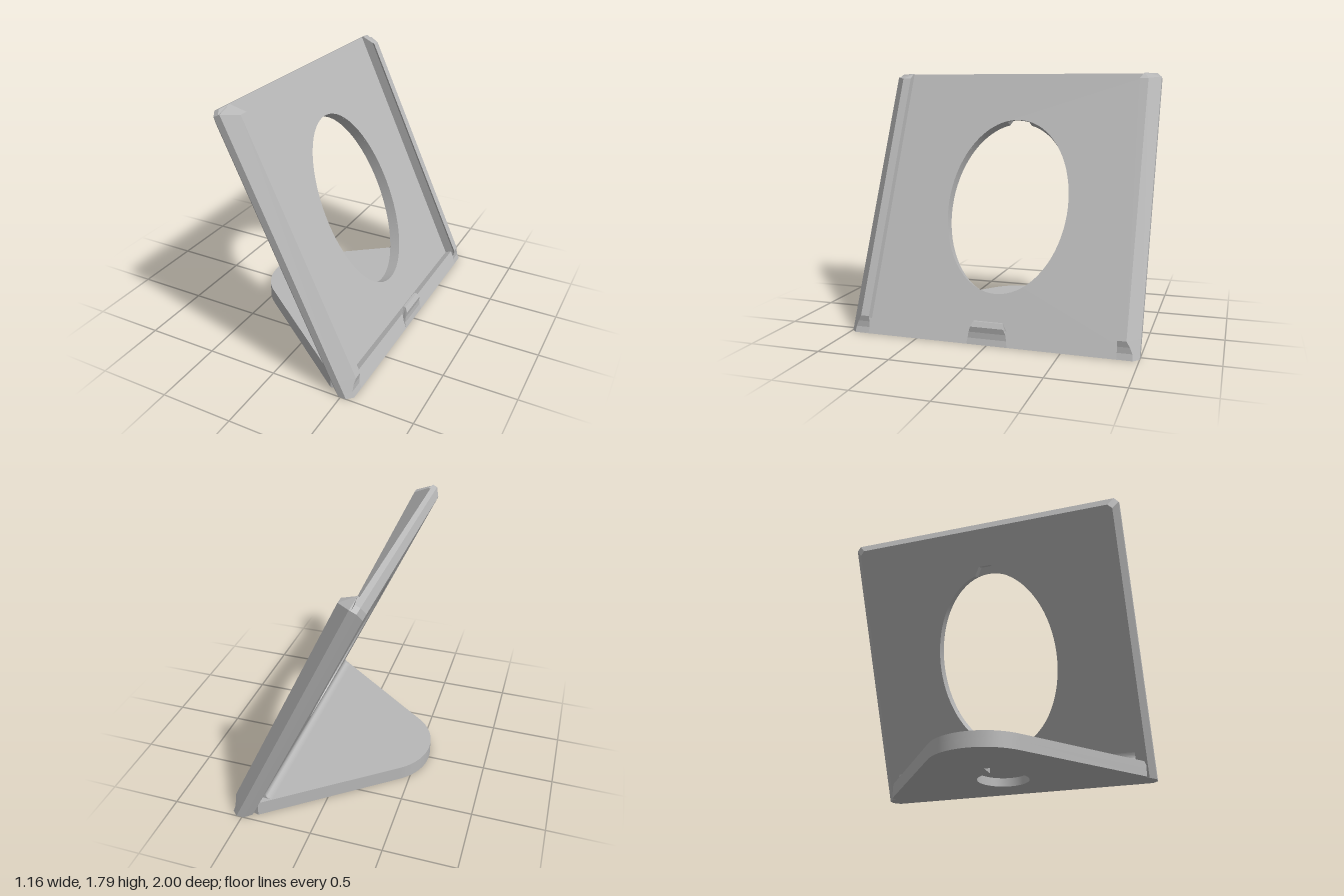
import * as THREE from 'three';
import { toCreasedNormals } from 'three/addons/utils/BufferGeometryUtils.js';

const TILT = THREE.MathUtils.degToRad(25);
// Height along the tilted plate at which depth n meets the ground
const ground = (n, y = 0) => (y - n * Math.sin(TILT)) / Math.cos(TILT);

const grey = new THREE.MeshStandardMaterial({ color: 0xb8b8b8 });
grey.name = 'grey';

function mesh(name, geometry) {
  const m = new THREE.Mesh(geometry, grey);
  m.name = name;
  return m;
}

const shapeOf = (pts) => new THREE.Shape(pts.map(([x, y]) => new THREE.Vector2(x, y)));

function extrude(shape, depth) {
  return new THREE.ExtrudeGeometry(shape, { depth, bevelEnabled: false, curveSegments: 32 });
}

// Oval opening, optionally with a cable notch at its top
function ovalHole(notched) {
  const pts = [], steps = 72, gap = notched ? 0.19 : 0;
  for (let i = 0; i <= steps; i++) {
    const t = Math.PI / 2 + gap + (i / steps) * (2 * Math.PI - 2 * gap);
    if (!notched && i === steps) break;
    pts.push(new THREE.Vector2(0.435 * Math.cos(t), 0.743 + 0.635 * Math.sin(t)));
  }
  if (notched) pts.push(new THREE.Vector2(0.045, 1.43), new THREE.Vector2(-0.045, 1.43));
  return new THREE.Path(pts);
}

// One layer of the plate, from depth n0 to n1; the back edge is chamfered
function plateLayer(n0, n1, notched) {
  const outline = shapeOf([[-1, -0.2], [1, -0.2], [1, 1.712], [0.97, 1.742], [-0.97, 1.742], [-1, 1.712]]);
  outline.holes.push(ovalHole(notched));
  const g = extrude(outline, n1 - n0).rotateY(Math.PI / 2).translate(n0, 0, 0);
  const p = g.attributes.position;
  for (let i = 0; i < p.count; i++) {
    const n = p.getX(i);
    let u = p.getY(i), z = p.getZ(i);
    if (u < 0) u = ground(n);
    if (n < 0.4) {
      if (Math.abs(z) > 0.95) z -= Math.sign(z) * 0.044;
      if (u > 1.69) u -= 0.044;
    }
    p.setXYZ(i, n, u, z);
  }
  return toCreasedNormals(g, 0.5);
}

// Closed loft through rings of equal length; flip reverses the winding
function loft(rings, flip) {
  const pos = [], idx = [], k = rings[0].length;
  rings.forEach((r) => r.forEach((v) => pos.push(...v)));
  const tri = (a, b, c) => (flip ? idx.push(a, c, b) : idx.push(a, b, c));
  for (let r = 0; r < rings.length - 1; r++) {
    for (let j = 0; j < k; j++) {
      const a = r * k + j, b = r * k + ((j + 1) % k);
      tri(a, b, b + k);
      tri(a, b + k, a + k);
    }
  }
  const top = (rings.length - 1) * k;
  for (let j = 1; j < k - 1; j++) {
    tri(top, top + j, top + j + 1);
    tri(0, j + 1, j);
  }
  const g = new THREE.BufferGeometry();
  g.setAttribute('position', new THREE.Float32BufferAttribute(pos, 3));
  g.setIndex(idx);
  const flat = g.toNonIndexed();
  flat.computeVertexNormals();
  return flat;
}

// Side rail with a small inward hook; section points are [depth, z, top]
function rail(side) {
  const section = [
    [0.489, 0.88, 1.742], [0.477, 0.88, 1.742], [0.477, 0.97, 1.742], [0.477, 1, 1.712],
    [0.489, 1, 1.712], [0.567, 0.92, 1.664], [0.567, 0.86, 1.664], [0.545, 0.88, 1.686],
  ];
  // Near the ground the rail thins down to the depth of the bottom lip
  const row = (y, limit) => section.map(([n, z]) => {
    const d = Math.min(n, limit);
    const w = n > 0.56 && z > 0.9 ? z + (n - d) : z;
    return [d, ground(d, y), w * side];
  });
  const rings = [row(0, 0.525), row(0.04, 0.529), row(0.08, 0.545), row(0.12, 0.567),
    section.map(([n, z, u]) => [n, u, z * side])];
  return loft(rings, side < 0);
}

// Foot outline seen from above: rounded nose flaring to the plate
function footShape() {
  const s = new THREE.Shape();
  const a = THREE.MathUtils.degToRad(127.6);
  s.moveTo(0.46, -0.93);
  s.lineTo(0.46, 0.93);
  s.lineTo(0.4, 0.945);
  s.absarc(-0.205, 0, 0.38, a, 2 * Math.PI - a, false);
  s.lineTo(0.4, -0.945);
  return s;
}

function footLayer(y0, y1, shape) {
  const g = extrude(shape, y1 - y0).rotateX(-Math.PI / 2).translate(0, y0, 0);
  return toCreasedNormals(g, 0.5);
}

// Bar with an x-y profile, centred on z
function bar(shape, half) {
  return toCreasedNormals(extrude(shape, 2 * half).translate(0, 0, -half), 0.5);
}

export function createModel() {
  const model = new THREE.Group();
  model.name = 'deviceStand';

  // Tilted back plate and side rails
  const back = new THREE.Group();
  back.name = 'tiltedBack';
  back.rotation.z = TILT;
  back.add(mesh('plateBack', plateLayer(0.397, 0.441, true)));
  back.add(mesh('plateMiddle', plateLayer(0.441, 0.465, true)));
  back.add(mesh('plateFront', plateLayer(0.465, 0.477, false)));
  back.add(mesh('leftRail', rail(1)), mesh('rightRail', rail(-1)));
  model.add(back);

  // Bottom lip
  model.add(mesh('bottomLip', bar(shapeOf([[0.52, 0], [0.58, 0], [0.535, 0.097], [0.488, 0.075]]), 0.88)));

  // Retaining tab, narrower towards its top
  const tab = bar(shapeOf([[0.53, 0], [0.58, 0], [0.568, 0.04], [0.566, 0.08], [0.572, 0.118],
    [0.552, 0.15], [0.535, 0.15], [0.53, 0.09]]), 0.14);
  const p = tab.attributes.position;
  for (let i = 0; i < p.count; i++) {
    const y = p.getY(i);
    const w = y > 0.14 ? 0.1 : y > 0.1 ? 0.115 : 0.14 - y * 0.15;
    p.setZ(i, Math.sign(p.getZ(i)) * w);
  }
  tab.computeVertexNormals();
  model.add(mesh('retainingTab', tab));

  // Foot with a round recess and cable slot underneath
  const lower = footShape();
  const recess = new THREE.Path();
  const half = Math.asin(0.035 / 0.18);
  recess.moveTo(-0.13, 0.035);
  recess.lineTo(-0.13, -0.035);
  recess.absarc(0.17, 0, 0.18, -Math.PI + half, Math.PI - half, false);
  recess.closePath();
  lower.holes.push(recess);
  model.add(mesh('footBottom', footLayer(0, 0.06, lower)));
  model.add(mesh('footTop', footLayer(0.06, 0.105, footShape())));

  // Fillet between foot and plate
  const fillet = new THREE.Shape();
  fillet.moveTo(0.41, 0.09);
  fillet.lineTo(0.37, 0.17);
  fillet.lineTo(0.359, 0.17);
  fillet.quadraticCurveTo(0.385, 0.106, 0.32, 0.105);
  fillet.lineTo(0.32, 0.09);
  model.add(mesh('fillet', bar(fillet, 0.88)));

  return model;
}
